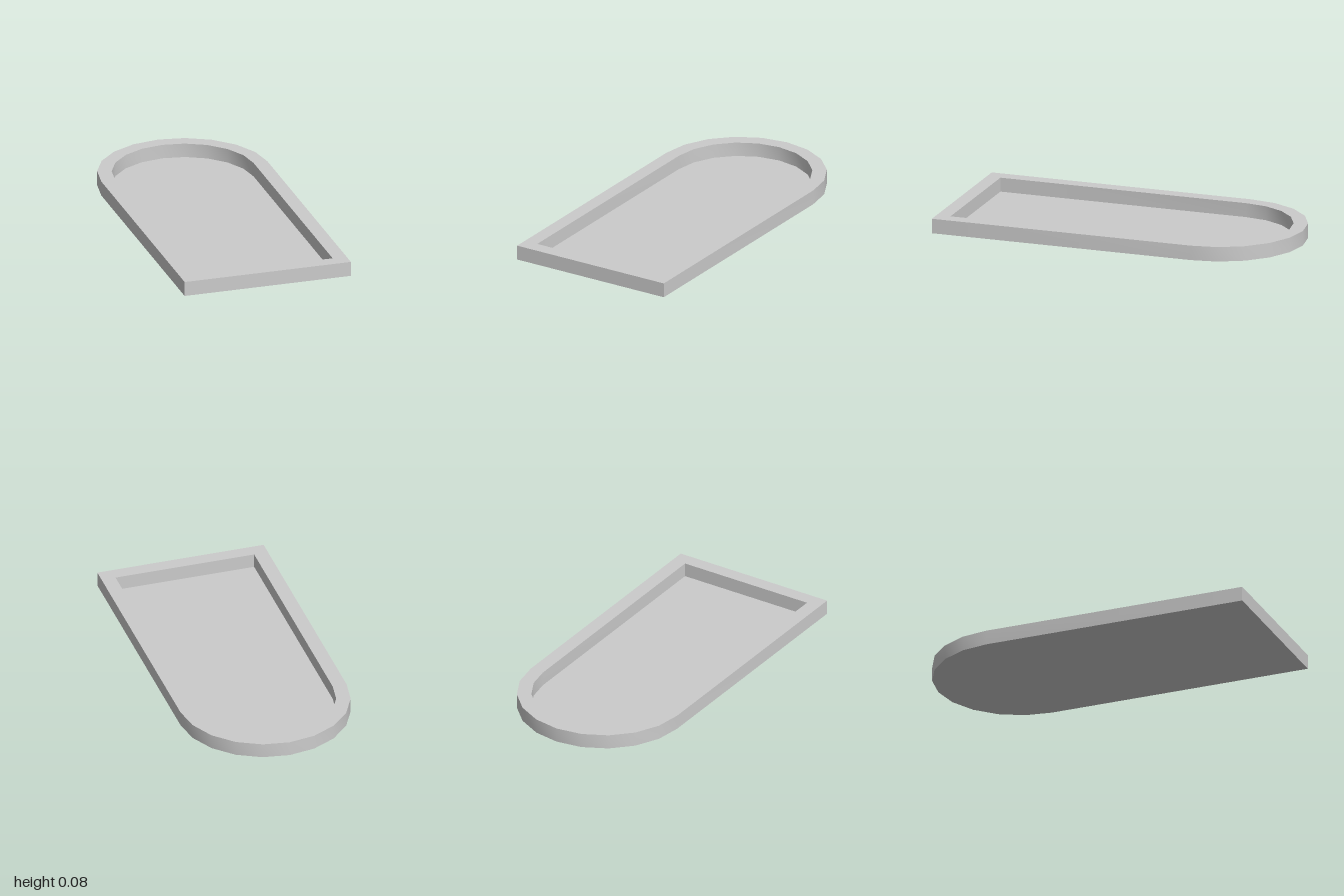
import * as THREE from 'three';
import { toCreasedNormals } from 'three/addons/utils/BufferGeometryUtils.js';

const ARC_CENTRE = 0.52, SEGMENTS = 10;

// Arched outline: square front corners, half-round back end
function archPoints(radius, front) {
  const points = [new THREE.Vector2(-radius, -front), new THREE.Vector2(radius, -front)];
  for (let i = 0; i <= SEGMENTS; i++) {
    const a = (i / SEGMENTS) * Math.PI;
    points.push(new THREE.Vector2(radius * Math.cos(a), ARC_CENTRE + radius * Math.sin(a)));
  }
  return points;
}

// Extrude upwards from y = 0, smooth round the arch and sharp at the edges
function slab(shape, height, name) {
  const extruded = new THREE.ExtrudeGeometry(shape, { depth: height, bevelEnabled: false });
  extruded.rotateX(-Math.PI / 2);
  const mesh = new THREE.Mesh(
    toCreasedNormals(extruded, 0.6),
    new THREE.MeshStandardMaterial({ color: 0xcccccc })
  );
  mesh.name = name;
  return mesh;
}

export function createModel() {
  const group = new THREE.Group();
  group.name = 'archedTray';

  // Raised rim around the recess
  const rim = new THREE.Shape(archPoints(0.48, 1));
  rim.holes.push(new THREE.Path(archPoints(0.4, 0.92).reverse()));
  group.add(slab(rim, 0.083, 'rim'));

  // Thin floor inside the rim
  group.add(slab(new THREE.Shape(archPoints(0.4, 0.92)), 0.003, 'floor'));

  return group;
}
